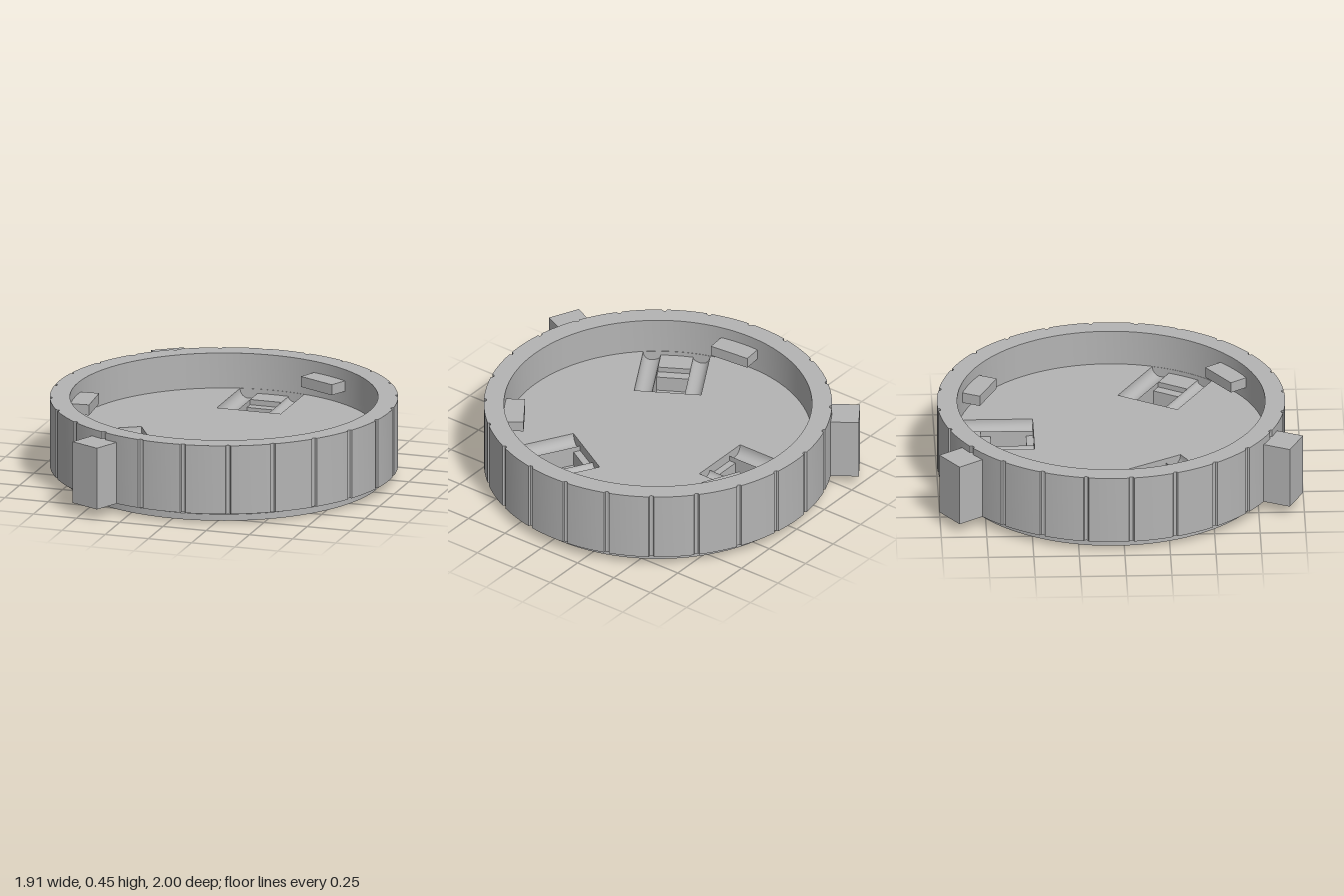
import * as THREE from 'three';
import { toCreasedNormals } from 'three/addons/utils/BufferGeometryUtils.js';

const grey = new THREE.MeshStandardMaterial({ color: 0xb4b4b4 });
grey.name = 'plain grey';
const deg = Math.PI / 180;

function add(parent, name, geometry) {
  const mesh = new THREE.Mesh(geometry, grey);
  mesh.name = name;
  parent.add(mesh);
  return mesh;
}

// Plan point at an angle from the front (+z), sideways offset u and radial distance v
function plan(angle, u, v) {
  const s = Math.sin(angle), c = Math.cos(angle);
  return new THREE.Vector2(v * s + u * c, -(v * c - u * s));
}

function circle(r, n = 96) {
  return Array.from({ length: n }, (_, i) => plan((i / n) * Math.PI * 2, 0, r));
}

// Upright slab from a plan outline with holes
function slab(outline, holes, y0, y1) {
  const shape = new THREE.Shape(outline);
  shape.holes = holes.map((h) => new THREE.Path(h));
  const g = new THREE.ExtrudeGeometry(shape, { depth: y1 - y0, bevelEnabled: false });
  g.rotateX(-Math.PI / 2).translate(0, y0, 0);
  return toCreasedNormals(g, 0.4);
}

// Block in a radial frame: width across, y range, radial range
function block(width, y0, y1, r0, r1) {
  return new THREE.BoxGeometry(width, y1 - y0, r1 - r0).translate(0, (y0 + y1) / 2, (r0 + r1) / 2);
}

// Outline with 24 small rounded grip grooves
function gripOutline() {
  const pts = [], R = 0.955, half = 0.9 * deg;
  for (let k = 0; k < 24; k++) {
    const a = (5 + 15 * k) * deg;
    for (let i = 0; i <= 6; i++) {
      const t = -1 + i / 3;
      pts.push(plan(a + t * half, 0, R - 0.014 * Math.sqrt(1 - t * t)));
    }
    for (let i = 1; i < 6; i++) pts.push(plan(a + half + (i / 6) * (15 * deg - 2 * half), 0, R));
  }
  return pts;
}

// Pocket opening whose outer end follows the wall
function pocketOutline(angle) {
  const pts = [plan(angle, -0.185, 0.425), plan(angle, 0.185, 0.425)];
  for (let i = 0; i <= 8; i++) {
    const u = 0.185 - (0.37 * i) / 8;
    pts.push(plan(angle, u, Math.sqrt(0.843 ** 2 - u * u)));
  }
  return pts;
}

// Bar with a rounded trough along its top
function troughBar(side) {
  const pts = [[0.185, 0.06], [0.185, 0.25]];
  for (let i = 1; i <= 12; i++) {
    const t = (i / 12) * Math.PI;
    const top = i < 6 ? 0.25 : 0.225;
    pts.push([0.1375 + 0.0475 * Math.cos(t), top - (top - 0.195) * Math.sin(t)]);
  }
  pts.push([0.09, 0.06]);
  const shape = new THREE.Shape(pts.map(([x, y]) => new THREE.Vector2(side * x, y)));
  const g = new THREE.ExtrudeGeometry(shape, { depth: 0.41, bevelEnabled: false });
  return toCreasedNormals(g.translate(0, 0, 0.425), 0.6);
}

export function createModel() {
  const model = new THREE.Group();
  model.name = 'grippedCap';
  const body = new THREE.Group();
  body.name = 'body';
  body.position.z = -0.045;
  model.add(body);

  const pockets = [60, 180, 300].map((a) => a * deg);

  // Stacked base: drilled disc, neck, floor with pockets, gripped ring
  const drill = [0, 120, 240].map((a) => {
    const c = plan(a * deg, 0, 0.66);
    return circle(0.033, 20).map((p) => p.add(c));
  });
  add(body, 'baseDisc', slab(circle(0.88), drill, 0, 0.036));
  add(body, 'neck', slab(circle(0.735), [], 0.036, 0.062));
  add(body, 'floor', slab(circle(0.846), pockets.map(pocketOutline), 0.06, 0.25));
  add(body, 'gripRing', slab(gripOutline(), [circle(0.845)], 0.06, 0.45));

  // Floor pockets: two troughs beside a stepped well
  for (const a of pockets) {
    const pocket = new THREE.Group();
    pocket.name = 'pocket';
    pocket.rotation.y = a;
    body.add(pocket);
    for (const side of [-1, 1]) add(pocket, 'trough', troughBar(side));
    add(pocket, 'pocketBlock', block(0.18, 0.06, 0.225, 0.715, 0.843));
    add(pocket, 'pocketStep', block(0.18, 0.06, 0.195, 0.66, 0.715));
    add(pocket, 'wellFloor', block(0.18, 0.06, 0.11, 0.465, 0.66));
    add(pocket, 'pocketLedge', block(0.18, 0.06, 0.195, 0.425, 0.465));
  }

  // Inner retaining tabs
  for (const a of [35, 155, 275]) {
    add(body, 'innerTab', block(0.235, 0.325, 0.385, 0.733, 0.86)).rotation.y = a * deg;
  }

  // Outer lugs
  for (const a of [-25, -145]) {
    add(body, 'outerLug', block(0.185, 0.06, 0.41, 0.9, 1.106)).rotation.y = a * deg;
  }
  return model;
}
